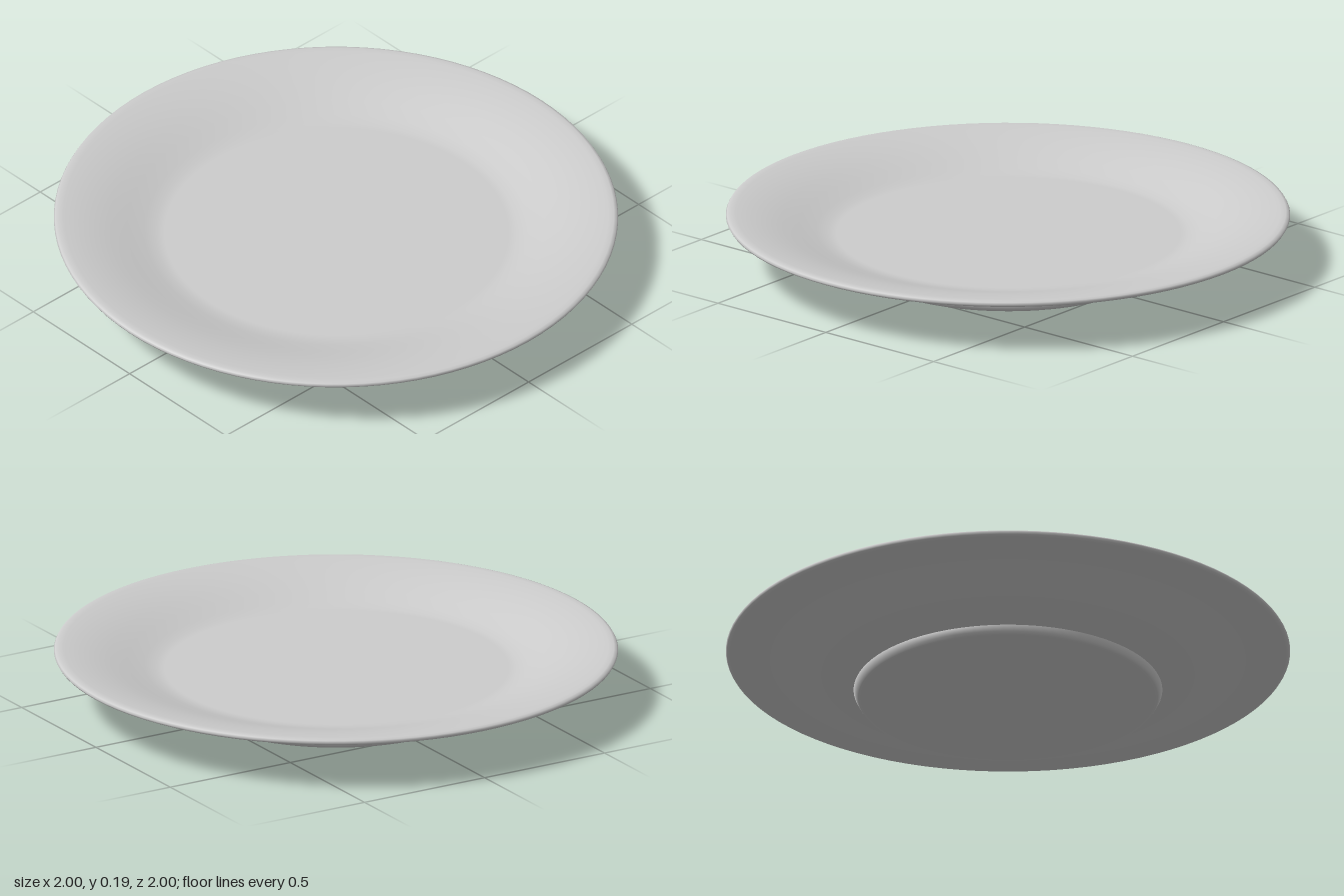
import * as THREE from 'three';

const SEGMENTS = 96;

// Spin a closed profile, listed from the lower centre outwards and back over the top
function spin(name, profile, material) {
  const points = profile.map(([r, y]) => new THREE.Vector2(r, y));
  const mesh = new THREE.Mesh(new THREE.LatheGeometry(points, SEGMENTS), material);
  mesh.name = name;
  return mesh;
}

export function createModel() {
  const ceramic = new THREE.MeshStandardMaterial({ color: 0xcccccc });
  ceramic.name = 'light grey ceramic';

  const group = new THREE.Group();
  group.name = 'plate';

  // Dish: flat floor, sweeping wall and thin rounded rim
  group.add(spin('dish', [
    // underside
    [0, 0.08], [0.61, 0.08], [0.635, 0.081], [0.68, 0.094], [0.74, 0.114],
    [0.8, 0.135], [0.86, 0.153], [0.92, 0.165], [0.965, 0.169], [0.985, 0.17],
    // rounded lip
    [0.996, 0.175], [1, 0.182], [0.996, 0.189], [0.985, 0.193],
    // upper face
    [0.965, 0.192], [0.92, 0.187], [0.86, 0.176], [0.8, 0.161],
    [0.74, 0.143], [0.68, 0.125], [0.64, 0.116], [0.61, 0.114], [0, 0.114],
  ], ceramic));

  // Foot: shallow cone with a flared edge and a hollow underside
  group.add(spin('foot', [
    [0, 0.033], [0.49, 0.004], [0.51, 0.001], [0.53, 0],
    [0.537, 0.01], [0.547, 0.03], [0.535, 0.033], [0.15, 0.08], [0, 0.095],
  ], ceramic));

  return group;
}
